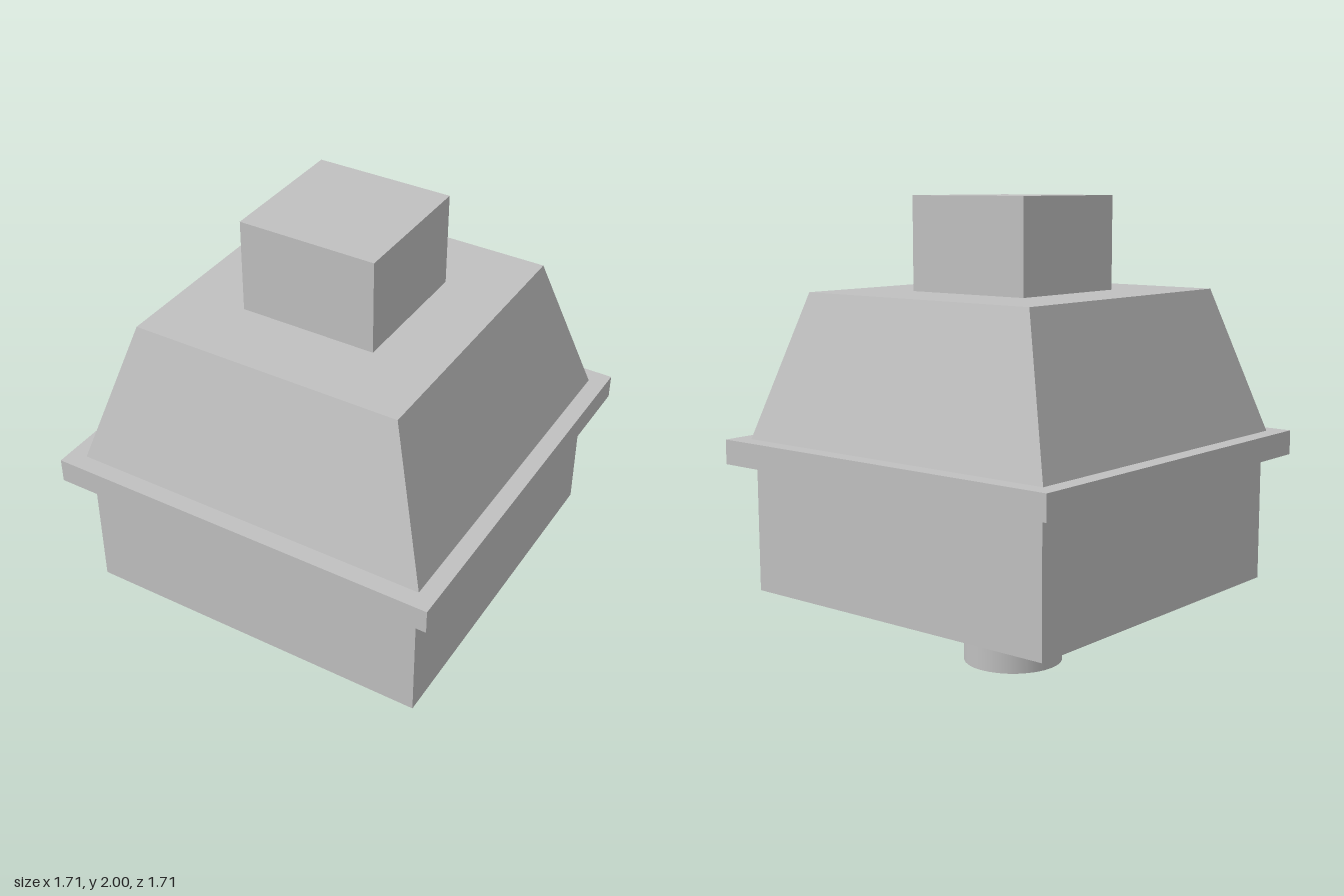
import * as THREE from 'three';

export function createModel() {
  const model = new THREE.Group();
  const grey = new THREE.MeshStandardMaterial({ color: 0xc0c0c0 });
  grey.name = 'grey plastic';

  const add = (name, geometry, bottom, top) => {
    const mesh = new THREE.Mesh(geometry, grey);
    mesh.name = name;
    mesh.position.y = (bottom + top) / 2;
    model.add(mesh);
  };
  const block = (name, width, bottom, top) =>
    add(name, new THREE.BoxGeometry(width, top - bottom, width), bottom, top);

  // Round peg and square lower housing with its rim
  add('bottomPeg', new THREE.CylinderGeometry(0.215, 0.215, 0.335, 32), 0, 0.335);
  block('lowerHousing', 1.53, 0.335, 0.885);
  block('rim', 1.71, 0.885, 0.99);

  // Upper housing: a box whose top is drawn in, more in x than in z
  const upper = new THREE.BoxGeometry(1.56, 0.615, 1.56);
  const p = upper.attributes.position;
  for (let i = 0; i < p.count; i++) {
    if (p.getY(i) > 0) {
      p.setX(i, Math.sign(p.getX(i)) * 0.583);
      p.setZ(i, Math.sign(p.getZ(i)) * 0.615);
    }
  }
  // Unshared corners per face keep the slopes flat
  upper.computeVertexNormals();
  add('upperHousing', upper, 0.99, 1.605);

  // Square stem on top
  block('stem', 0.59, 1.605, 2);

  return model;
}
